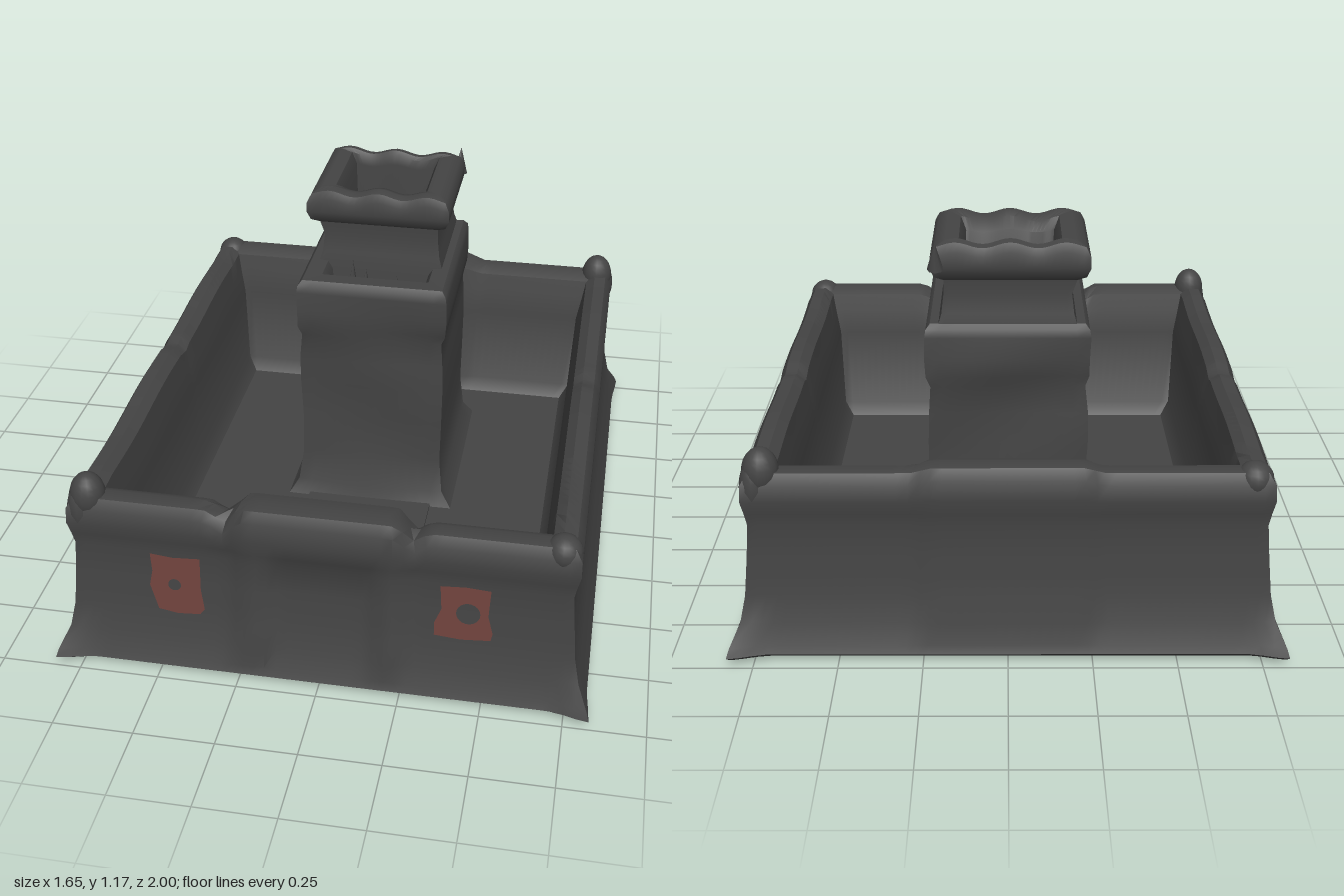
import * as THREE from 'three';
import { toCreasedNormals } from 'three/addons/utils/BufferGeometryUtils.js';

const stone = new THREE.MeshStandardMaterial({ color: 0x444444 });
stone.name = 'dark stone';
const red = new THREE.MeshStandardMaterial({ color: 0x70433d, side: THREE.DoubleSide });
red.name = 'dull red';

// 1 inside |v| < half, fading to 0 over the given width
const band = (v, half, fade) => 1 - THREE.MathUtils.smoothstep(Math.abs(v), half - fade, half);
const bump = (v, width) => Math.exp(-((v / width) ** 2));

// Skins rectangular rings [halfX, halfZ, y, centreZ]; warp moves each vertex
function loft(rings, n, warp) {
  const pos = [], index = [], count = n * 4;
  const corners = [[-1, 1], [1, 1], [1, -1], [-1, -1]];
  rings.forEach(([hx, hz, y, cz = 0]) => {
    for (let s = 0; s < 4; s++) {
      const a = corners[s], b = corners[(s + 1) % 4];
      for (let i = 0; i < n; i++) {
        const t = i / n;
        const p = new THREE.Vector3(hx * (a[0] + (b[0] - a[0]) * t), y, cz + hz * (a[1] + (b[1] - a[1]) * t));
        if (warp) warp(p);
        pos.push(p.x, p.y, p.z);
      }
    }
  });
  for (let j = 0; j < rings.length - 1; j++) {
    for (let i = 0; i < count; i++) {
      const k = (i + 1) % count, a = j * count, b = a + count;
      index.push(a + i, a + k, b + k, a + i, b + k, b + i);
    }
  }
  const g = new THREE.BufferGeometry();
  g.setAttribute('position', new THREE.Float32BufferAttribute(pos, 3));
  g.setIndex(index);
  return toCreasedNormals(g, 0.7);
}

// Gate relief, rim joints, flared feet and gentle unevenness of the outer wall
function warpWall(p) {
  const { x, y, z } = p;
  const gate = band(x, 0.28, 0.06);
  const rim = THREE.MathUtils.smoothstep(y, 0.44, 0.56);
  if (z > 0.77 && y > 0.1) {
    p.z += 0.022 * gate * (z > 0.85 ? 1 : -0.5);
    if (z > 0.85) p.z -= 0.022 * band(x - 0.01, 0.18, 0.04) * band(y - 0.24, 0.22, 0.06);
    p.y += rim * (0.03 * gate - 0.035 * bump(x + 0.29, 0.03) - 0.03 * bump(x - 0.28, 0.03));
  } else if (z < -0.77 && y > 0.1) {
    p.y += rim * 0.02 * gate;
    p.z -= 0.01 * gate * (z < -0.85 ? 1 : -1);
  } else if (y > 0.1) {
    p.y += rim * (0.006 * Math.sin(z * 9) - 0.015 * bump(z + 0.06, 0.03));
  }
  if (y > 0.01 && y < 0.06 && Math.abs(x) > 0.7 && Math.abs(z) > 0.85) {
    const f = band(Math.abs(x) - 0.82, 0.12, 0.12) * band(Math.abs(z) - 0.975, 0.12, 0.12);
    p.x += Math.sign(x) * 0.012 * f;
    p.z += Math.sign(z) * 0.027 * f;
  }
}

const warpTower = (p) => {
  const w = 0.007 * Math.sin(p.y * 13 + p.x * 9);
  if (p.y > 0.12 && p.y < 0.87) { p.x += w * 0.6; p.z += w; }
};

const warpTurret = (p) => {
  const w = THREE.MathUtils.smoothstep(p.y, 1.08, 1.15);
  p.y += w * 0.009 * (Math.cos(p.x * 38) - 0.6);
  if (p.y > 1.04) p.x -= 0.008;
};

export function createModel() {
  const model = new THREE.Group();
  const add = (name, geometry, x = 0, y = 0, z = 0, material = stone) => {
    const m = new THREE.Mesh(geometry, material);
    m.name = name;
    m.position.set(x, y, z);
    model.add(m);
    return m;
  };

  // Battered enclosure: underside, outer face, rounded rim, inner face, floor
  add('outerWall', loft([
    [0, 0, 0], [0.805, 0.96, 0.018], [0.815, 0.973, 0.03], [0.808, 0.962, 0.055],
    [0.788, 0.942, 0.12], [0.772, 0.925, 0.2], [0.767, 0.92, 0.26], [0.762, 0.915, 0.32],
    [0.755, 0.91, 0.42], [0.762, 0.917, 0.46], [0.771, 0.925, 0.5], [0.77, 0.92, 0.55],
    [0.75, 0.9, 0.582], [0.71, 0.855, 0.586], [0.68, 0.815, 0.565], [0.668, 0.8, 0.5],
    [0.652, 0.785, 0.42], [0.642, 0.775, 0.13], [0.61, 0.74, 0.085], [0, 0, 0.08],
  ], 48, warpWall));
  add('courtyardPath', new THREE.BoxGeometry(0.43, 0.012, 1.52), 0, 0.085, 0);

  // Worn corner knobs, larger on one diagonal
  for (const sx of [-1, 1]) for (const sz of [-1, 1]) {
    const big = sx !== sz;
    const knob = add('cornerKnob', new THREE.SphereGeometry(1, 16, 12), sx * 0.715, big ? 0.575 : 0.55, sz * 0.87);
    knob.scale.set(0.055, big ? 0.075 : 0.055, 0.055);
    if (big) {
      const lump = add('cornerLump', new THREE.SphereGeometry(1, 12, 10), sx * 0.735, 0.53, sz * 0.885);
      lump.scale.set(0.042, 0.085, 0.042);
    }
  }

  // Lower tower with a parapet and an open terrace
  const c = -0.26;
  add('lowerTower', loft([
    [0.29, 0.33, 0.08, c], [0.255, 0.305, 0.13, c], [0.243, 0.288, 0.25, c], [0.24, 0.285, 0.4, c],
    [0.243, 0.285, 0.52, c], [0.245, 0.286, 0.62, c], [0.24, 0.284, 0.71, c], [0.252, 0.297, 0.745, c],
    [0.253, 0.298, 0.8, c], [0.252, 0.298, 0.87, c], [0.248, 0.294, 0.895, c], [0.235, 0.28, 0.911, c],
    [0.18, 0.215, 0.905, c], [0.165, 0.195, 0.88, c], [0.155, 0.185, 0.72, c], [0, 0, 0.72, c],
  ], 12, warpTower));

  // Hollow upper turret with a heavy scalloped rim
  const u = -0.345;
  add('upperTower', loft([
    [0.215, 0.2, 0.73, u], [0.212, 0.198, 0.9, u], [0.2, 0.189, 0.94, u], [0.193, 0.182, 1.0, u],
    [0.2, 0.185, 1.045, u], [0.228, 0.205, 1.06, u], [0.24, 0.213, 1.09, u], [0.239, 0.213, 1.135, u],
    [0.225, 0.2, 1.162, u], [0.195, 0.17, 1.167, u], [0.155, 0.145, 1.155, -0.36],
    [0.138, 0.13, 1.12, -0.37], [0.135, 0.125, 0.78, -0.37], [0, 0, 0.78, -0.37],
  ], 24, warpTurret));
  const spur = add('rimSpur', new THREE.ConeGeometry(0.025, 0.09, 8), 0.215, 1.13, -0.565);
  spur.rotation.x = -0.25;

  // Broken stones on the terrace
  [[-0.09, 0.2], [-0.045, 0.17], [0.06, 0.15]].forEach(([x, h]) =>
    add('brokenStone', new THREE.ConeGeometry(0.03, h, 7), x, 0.73 + h / 2, -0.125));

  // Painted window frames following the slope of the front wall
  const frame = (name, outline, cx, cy, r) => {
    const shape = new THREE.Shape(outline.map(([x, y]) => new THREE.Vector2(x, y)));
    const hole = new THREE.Path();
    hole.absarc(cx, cy, r, 0, Math.PI * 2, true);
    shape.holes.push(hole);
    const g = new THREE.ShapeGeometry(shape, 12), p = g.attributes.position;
    for (let i = 0; i < p.count; i++) p.setZ(i, 0.925 - (p.getY(i) - 0.2) * 0.068 + 0.005);
    g.computeVertexNormals();
    add(name, g, 0, 0, 0, red);
  };
  frame('rightWindowFrame', [[-0.5, 0.215], [-0.44, 0.205], [-0.37, 0.21], [-0.355, 0.23], [-0.365, 0.3],
    [-0.365, 0.41], [-0.45, 0.405], [-0.52, 0.412], [-0.515, 0.35], [-0.525, 0.3]], -0.447, 0.308, 0.02);
  frame('leftWindowFrame', [[0.35, 0.235], [0.43, 0.228], [0.52, 0.235], [0.525, 0.26], [0.51, 0.32],
    [0.515, 0.41], [0.44, 0.415], [0.365, 0.41], [0.37, 0.33], [0.35, 0.28]], 0.45, 0.322, 0.036);

  return model;
}
